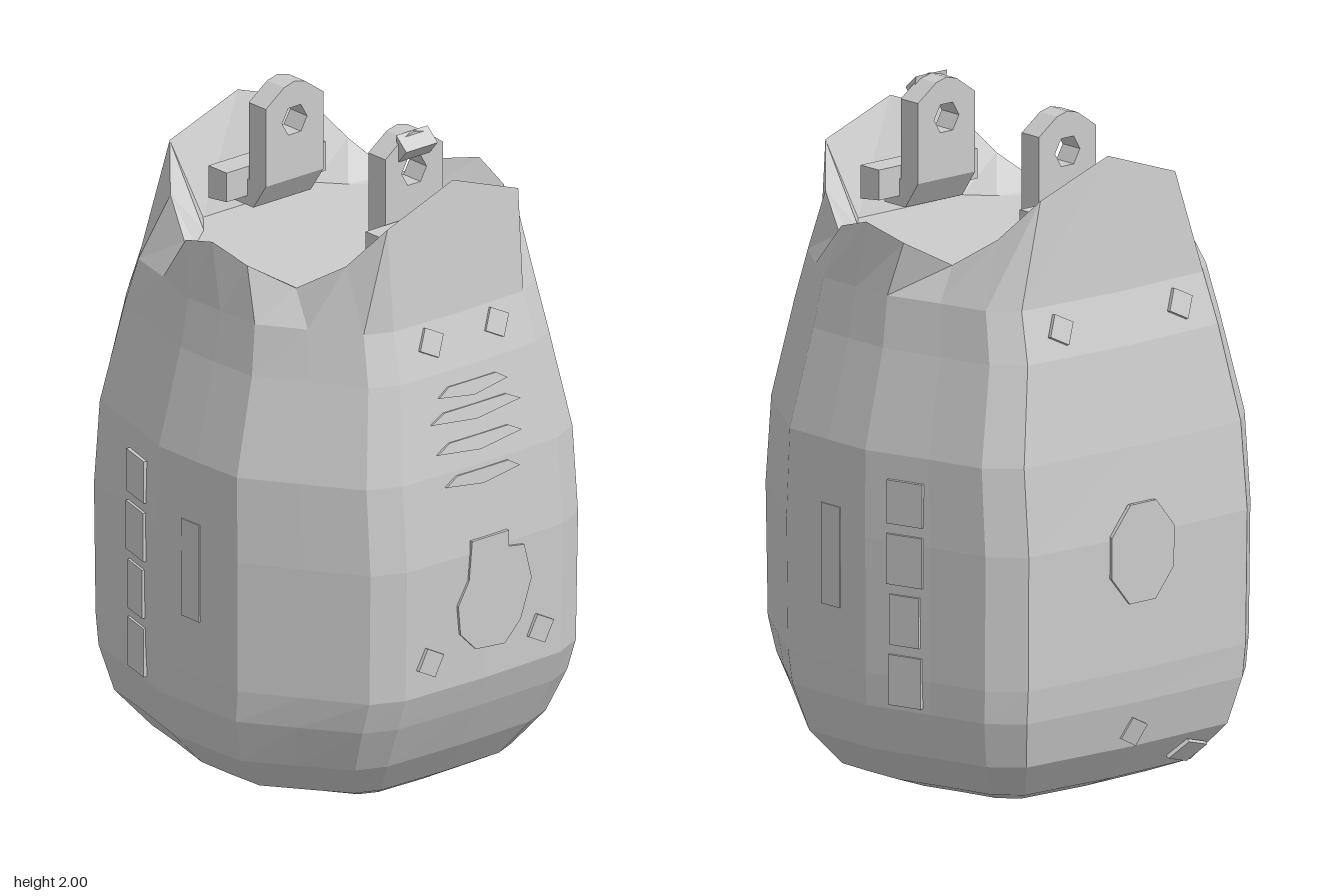
import * as THREE from 'three';

const mat = new THREE.MeshStandardMaterial({ color: 0xcccccc, flatShading: true, side: THREE.DoubleSide });

// Half outline of the body, front middle to back middle, as fractions of width and depth
const OUTLINE = [[0, 1], [0.48, 0.985], [0.64, 0.91], [0.82, 0.635], [0.99, 0.37], [1, 0.08],
  [1, -0.19], [0.9, -0.53], [0.825, -0.83], [0.68, -0.97], [0, -1]];
// Height, half width, front depth, back depth
const LEVELS = [[0.006, 0.35, 0.34, 0.38], [0.05, 0.47, 0.42, 0.49], [0.16, 0.57, 0.505, 0.575],
  [0.3, 0.612, 0.575, 0.61], [0.4, 0.617, 0.612, 0.62], [0.8, 0.62, 0.62, 0.625],
  [1.06, 0.615, 0.597, 0.6], [1.35, 0.54, 0.545, 0.557], [1.5, 0.515, 0.502, 0.51]];
// Half of the crown-like rim: x, y, z
const RIM = [[0, 1.9, 0.47], [0.25, 1.81, 0.47], [0.33, 1.69, 0.38], [0.4, 1.6, 0.24], [0.49, 1.66, 0.13],
  [0.51, 1.7, 0], [0.49, 1.66, -0.14], [0.4, 1.6, -0.25], [0.34, 1.69, -0.38], [0.26, 1.81, -0.475], [0, 1.9, -0.475]];

// Completes a half ring by mirroring it in x
const mirrorRing = (half) => [...half, ...half.slice(1, -1).reverse().map(([x, y, z]) => [-x, y, z])];
const toShape = (points) => new THREE.Shape(points.map((p) => new THREE.Vector2(...p)));
const polygon = (n, rx, ry, turn = 0) => Array.from({ length: n }, (_, i) => {
  const a = turn + (i / n) * Math.PI * 2;
  return [Math.cos(a) * rx, Math.sin(a) * ry];
});

function loft(rings) {
  const pos = [];
  for (let j = 0; j < rings.length - 1; j++) {
    const lo = rings[j], hi = rings[j + 1], n = lo.length;
    for (let i = 0; i < n; i++) {
      const k = (i + 1) % n;
      pos.push(...lo[i], ...lo[k], ...hi[k], ...lo[i], ...hi[k], ...hi[i]);
    }
  }
  const g = new THREE.BufferGeometry();
  g.setAttribute('position', new THREE.Float32BufferAttribute(pos, 3));
  g.computeVertexNormals();
  return g;
}

function add(parent, name, geometry, x = 0, y = 0, z = 0) {
  const m = new THREE.Mesh(geometry, mat);
  m.name = name;
  m.position.set(x, y, z);
  parent.add(m);
  return m;
}

// Interpolated body size (column of LEVELS) and its tilt at a height
function bodyAt(y, column) {
  let i = 0;
  while (i < LEVELS.length - 2 && y > LEVELS[i + 1][0]) i++;
  const a = LEVELS[i], b = LEVELS[i + 1];
  const slope = (b[column] - a[column]) / (b[0] - a[0]);
  return { d: a[column] + slope * (y - a[0]), tilt: Math.atan(slope) };
}

// Thin shape lying on the front (side 1) or back (side -1) wall
function wallPatch(parent, name, points, x, y, side) {
  const g = new THREE.ExtrudeGeometry(toShape(points), { depth: 0.012, bevelEnabled: false });
  const { d, tilt } = bodyAt(y, side > 0 ? 2 : 3);
  const holder = new THREE.Group();
  holder.name = name;
  holder.rotation.y = side > 0 ? 0 : Math.PI;
  add(holder, name, g, x * side, y, d - 0.008).rotation.x = tilt;
  parent.add(holder);
}

// Side profile (z, y) swept across a width in x
function sweptProfile(points, width) {
  const g = new THREE.ExtrudeGeometry(toShape(points), { depth: width, bevelEnabled: false });
  g.translate(0, 0, -width / 2);
  return g.rotateY(-Math.PI / 2);
}

// Upright tab with an eyelet, a slanted foot and a base plate
function eyeletTab(side) {
  const tab = new THREE.Group();
  tab.name = side > 0 ? 'frontEyeletTab' : 'backEyeletTab';
  const s = toShape([[-0.11, 1.7], [0.11, 1.7], [0.11, 1.94], [0.04, 1.99], [0, 2], [-0.04, 1.99], [-0.11, 1.94]]);
  s.holes.push(new THREE.Path(polygon(6, 0.048, 0.048).map(([x, y]) => new THREE.Vector2(x, y + 1.88))));
  add(tab, 'eyelet', new THREE.ExtrudeGeometry(s, { depth: 0.075, bevelEnabled: false }), 0, 0, 0.225);
  add(tab, 'foot', sweptProfile([[0.225, 1.7], [0.3, 1.7], [0.37, 1.72], [0.37, 1.62], [0.28, 1.62]], 0.22));
  add(tab, 'basePlate', sweptProfile([[0.305, 1.74], [0.385, 1.74], [0.385, 1.64], [0.305, 1.65]], 0.38));
  if (side > 0) add(tab, 'hook', sweptProfile([[0.29, 2], [0.335, 1.96], [0.3, 1.92]], 0.12));
  else tab.rotation.y = Math.PI;
  return tab;
}

export function createModel() {
  const model = new THREE.Group();
  model.name = 'pouch';

  // Outer wall with a round recess underneath, rim flaps folding inward, and the floor inside them
  const walls = LEVELS.map(([y, w, f, b]) => mirrorRing(OUTLINE.map(([x, z]) => [x * w, y, z > 0 ? z * f : z * b])));
  const rim = mirrorRing(RIM);
  const inner = rim.map(([x, y, z]) => {
    const s = y < 1.61 ? 0.93 : 0.81;
    return [x * s, 1.585, z * s];
  });
  const centre = (y) => rim.map(() => [0, y, 0]);
  const recess = (y) => polygon(rim.length, 0.2, 0.2, -Math.PI / 2).map(([x, z]) => [x, y, -z]);
  add(model, 'body', loft([centre(0.04), recess(0.04), recess(0.006), ...walls, rim]));
  add(model, 'innerCollar', loft([rim, inner]));
  add(model, 'innerFloor', loft([inner, centre(1.585)]));
  model.add(eyeletTab(1), eyeletTab(-1));

  // Small diamond studs on the front and back
  const diamond = polygon(4, 0.05, 0.05, 0.3);
  for (const s of [-1, 1]) {
    wallPatch(model, 'frontUpperStud', diamond, s * 0.125, 1.44, 1);
    wallPatch(model, 'frontLowerStud', diamond, s * 0.21, 0.5, 1);
    wallPatch(model, 'backUpperStud', diamond, s * 0.23, 1.43, -1);
  }
  wallPatch(model, 'backLowerStud', diamond, 0, 0.21, -1);
  wallPatch(model, 'backCornerStud', polygon(4, 0.07, 0.05, 0.3), -0.26, 0.1, -1);

  // Flask-shaped front badge and octagonal back badge
  wallPatch(model, 'frontBadge', [[-0.09, 0.19], [-0.1, 0.07], [-0.14, 0], [-0.13, -0.09], [-0.07, -0.15], [0.04, -0.16],
    [0.1, -0.1], [0.14, 0.02], [0.11, 0.13], [0.05, 0.14], [0.05, 0.19]], 0.03, 0.65, 1);
  wallPatch(model, 'backBadge', polygon(8, 0.13, 0.16, Math.PI / 8), 0, 0.75, -1);

  // Shallow ripples across the front
  [[1.28, 0.13], [1.21, 0.17], [1.12, 0.16], [1.02, 0.14]].forEach(([y, w]) =>
    wallPatch(model, 'frontRipple', [[-w, 0], [0, -0.02], [w, 0], [w * 0.7, 0.025], [-w * 0.7, 0.025]], 0, y, 1));

  // Low relief bands on both sides, following the tapering wall
  for (const s of [-1, 1]) {
    for (const [z, y, w, h] of [[-0.25, 0.92, 0.12, 0.13], [-0.25, 0.75, 0.12, 0.15], [-0.25, 0.57, 0.1, 0.15],
      [-0.25, 0.39, 0.11, 0.15], [0.03, 0.72, 0.08, 0.3]]) {
      const rear = z < -0.1;
      const band = add(model, 'sideBand', new THREE.BoxGeometry(0.012, h, w), s * (bodyAt(y, 1).d - (rear ? 0.036 : 0.003)), y, z);
      band.rotation.y = rear ? s * 0.28 : 0;
    }
  }

  // Circle of little studs on the underside
  for (let i = 0; i < 10; i++) {
    const a = (i / 10) * Math.PI * 2;
    add(model, 'bottomStud', new THREE.CylinderGeometry(0.028, 0.028, 0.01, 5), Math.cos(a) * 0.27, 0.005, Math.sin(a) * 0.28);
  }
  return model;
}
